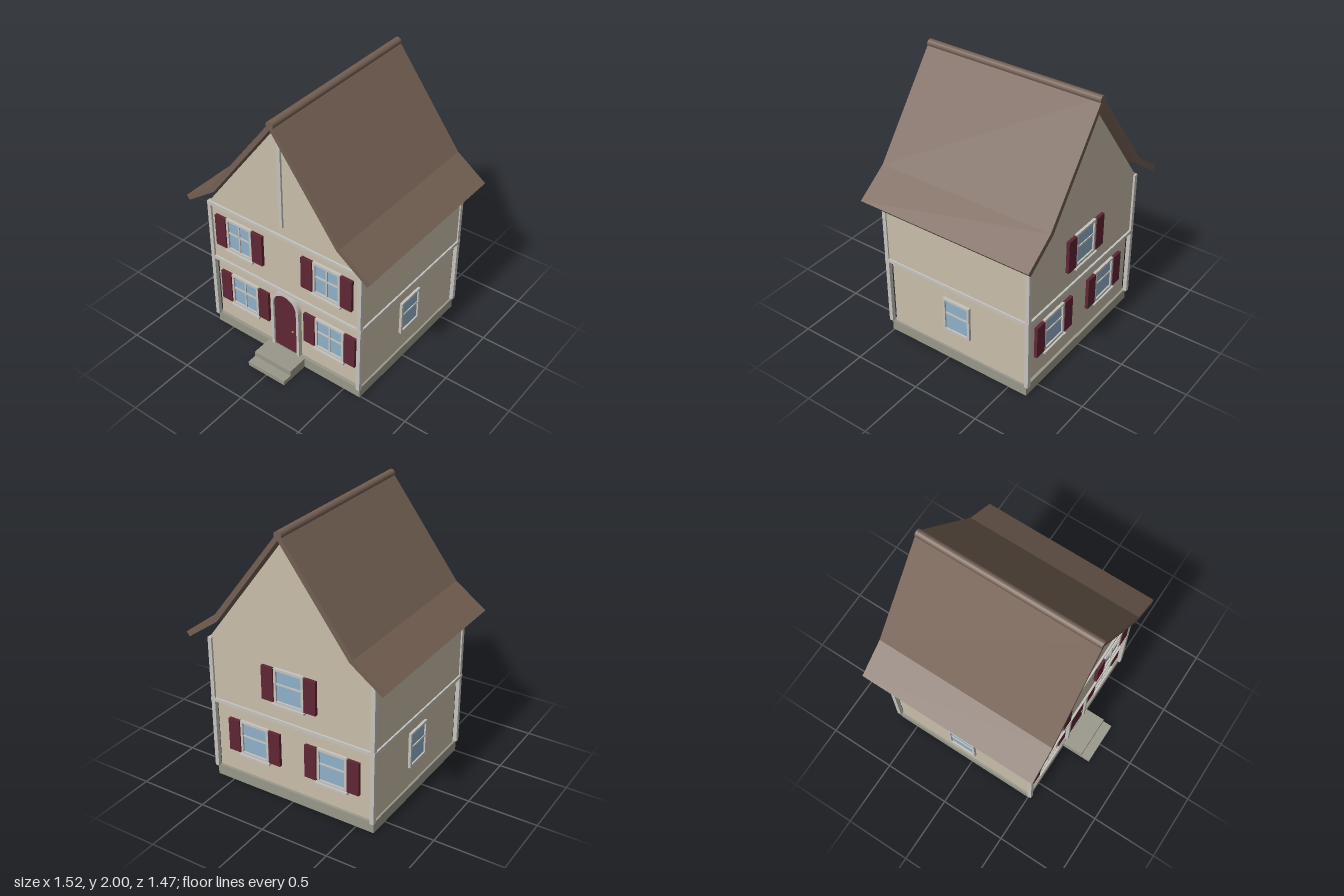
import * as THREE from 'three';

const mat = (color) => new THREE.MeshStandardMaterial({ color });

export function createModel() {
  const house = new THREE.Group();
  house.name = 'house';
  const wall = mat(0xc8bda9), trim = mat(0xc6c3bd), stone = mat(0x99978a), roofing = mat(0x735f52);
  const paint = mat(0x5e2634), glass = mat(0x8fb0c8), brass = mat(0xb08a3c);

  const add = (parent, name, geometry, material, x = 0, y = 0, z = 0) => {
    const mesh = new THREE.Mesh(geometry, material);
    mesh.name = name;
    mesh.position.set(x, y, z);
    parent.add(mesh);
    return mesh;
  };
  // box given by its lower and upper limits
  const block = (parent, name, material, x0, x1, y0, y1, z0, z1) =>
    add(parent, name, new THREE.BoxGeometry(x1 - x0, y1 - y0, z1 - z0), material,
      (x0 + x1) / 2, (y0 + y1) / 2, (z0 + z1) / 2);
  const extrude = (points, depth) => new THREE.ExtrudeGeometry(
    new THREE.Shape(points.map(([x, y]) => new THREE.Vector2(x, y))), { depth, bevelEnabled: false });

  // foundation and front steps
  block(house, 'foundation', stone, -0.635, 0.635, 0, 0.08, -0.645, 0.51);
  block(house, 'upperStep', stone, -0.16, 0.16, 0, 0.075, 0.5, 0.665);
  block(house, 'lowerStep', stone, -0.16, 0.16, 0, 0.035, 0.665, 0.735);

  // two storeys, the upper one slightly overhanging
  block(house, 'lowerStorey', wall, -0.62, 0.62, 0.08, 0.61, -0.625, 0.485);
  block(house, 'upperStorey', wall, -0.635, 0.635, 0.62, 1.09, -0.65, 0.515);
  block(house, 'beltCourse', trim, -0.648, 0.648, 0.605, 0.63, -0.665, 0.53);
  block(house, 'frontFrieze', trim, -0.645, 0.645, 1.07, 1.095, 0.5, 0.53);
  for (const x of [-0.63, 0.63]) {
    for (const z of [-0.65, 0.515]) {
      block(house, 'cornerPost', trim, x - 0.015, x + 0.015, 0.08, 1.09, z - 0.015, z + 0.015);
    }
  }

  // gable walls
  const gable = [[-0.635, 1.09], [0.635, 1.09], [0, 1.943]];
  add(house, 'frontGable', extrude(gable, 0.03), wall, 0, 0, 0.485);
  add(house, 'backGable', extrude(gable, 0.03), wall, 0, 0, -0.65);
  block(house, 'gableBatten', trim, -0.013, 0.013, 1.165, 1.795, 0.51, 0.53);

  // roof slopes with flared eaves
  const slope = [[0, 1.94], [0.503, 1.267], [0.735, 1.1], [0.76, 1.13], [0.53, 1.295], [0, 1.992]];
  for (const side of [1, -1]) {
    const points = slope.map(([x, y]) => [x * side, y]);
    add(house, side > 0 ? 'leftRoof' : 'rightRoof', extrude(points, 1.335), roofing, 0, 0, -0.735);
  }
  const ridge = new THREE.CylinderGeometry(0.028, 0.028, 1.335, 16).rotateX(Math.PI / 2);
  add(house, 'ridgeCap', ridge, roofing, 0, 1.972, -0.0675);

  // window facing +z, centred on the group's origin
  const addWindow = (x, y, z, turn, w, h, { shutters = true, upright = false } = {}) => {
    const g = new THREE.Group();
    g.name = 'window';
    const a = w / 2, b = h / 2, t = 0.018;
    block(g, 'glass', glass, -a + 0.005, a - 0.005, -b + 0.005, b - 0.005, -0.005, 0.008);
    for (const s of [-1, 1]) {
      block(g, 'jamb', trim, s * (a - t / 2) - t / 2, s * (a - t / 2) + t / 2, -b, b, -0.005, 0.02);
      block(g, 'rail', trim, -a + t, a - t, s * (b - t / 2) - t / 2, s * (b - t / 2) + t / 2, -0.005, 0.02);
      if (shutters) {
        const c = s * (a + 0.05);
        block(g, 'shutter', paint, c - 0.045, c + 0.045, -b + 0.006, b - 0.006, -0.005, 0.024);
      }
    }
    block(g, 'crossBar', trim, -a + t, a - t, 0.008, 0.02, 0, 0.015);
    if (upright) block(g, 'uprightBar', trim, -0.006, 0.006, -b + t, b - t, 0, 0.015);
    if (shutters) block(g, 'sill', trim, -a - 0.01, a + 0.01, -b - 0.016, -b, -0.005, 0.034);
    g.position.set(x, y, z);
    g.rotation.y = turn;
    house.add(g);
  };
  for (const s of [-1, 1]) {
    addWindow(s * 0.37, 0.887, 0.515, 0, 0.22, 0.26, { upright: true });
    addWindow(s * 0.37, 0.373, 0.485, 0, 0.24, 0.26, { upright: true });
    addWindow(s * 0.31, 0.373, -0.625, Math.PI, 0.23, 0.26);
    addWindow(s * 0.62, 0.373, -0.07, s * Math.PI / 2, 0.22, 0.27, { shutters: false });
  }
  addWindow(0, 0.887, -0.65, Math.PI, 0.23, 0.26);

  // arched front door and its surround
  const arch = (Type, r) => {
    const s = new Type();
    s.moveTo(-r, 0.08);
    s.lineTo(r, 0.08);
    s.lineTo(r, 0.468);
    s.absarc(0, 0.468, r, 0, Math.PI, false);
    s.closePath();
    return s;
  };
  const solid = (shape, depth) =>
    new THREE.ExtrudeGeometry(shape, { depth, bevelEnabled: false, curveSegments: 20 });
  add(house, 'door', solid(arch(THREE.Shape, 0.1), 0.025), paint, 0, 0, 0.48);
  const surround = new THREE.Shape();
  surround.moveTo(0.12, 0.08);
  surround.lineTo(0.12, 0.468);
  surround.absarc(0, 0.468, 0.12, 0, Math.PI, false);
  surround.lineTo(-0.12, 0.08);
  surround.lineTo(-0.099, 0.08);
  surround.lineTo(-0.099, 0.468);
  surround.absarc(0, 0.468, 0.099, Math.PI, 0, true);
  surround.lineTo(0.099, 0.08);
  surround.closePath();
  add(house, 'doorSurround', solid(surround, 0.04), trim, 0, 0, 0.48);
  add(house, 'doorKnob', new THREE.SphereGeometry(0.008, 12, 8), brass, 0.065, 0.28, 0.515);

  return house;
}
